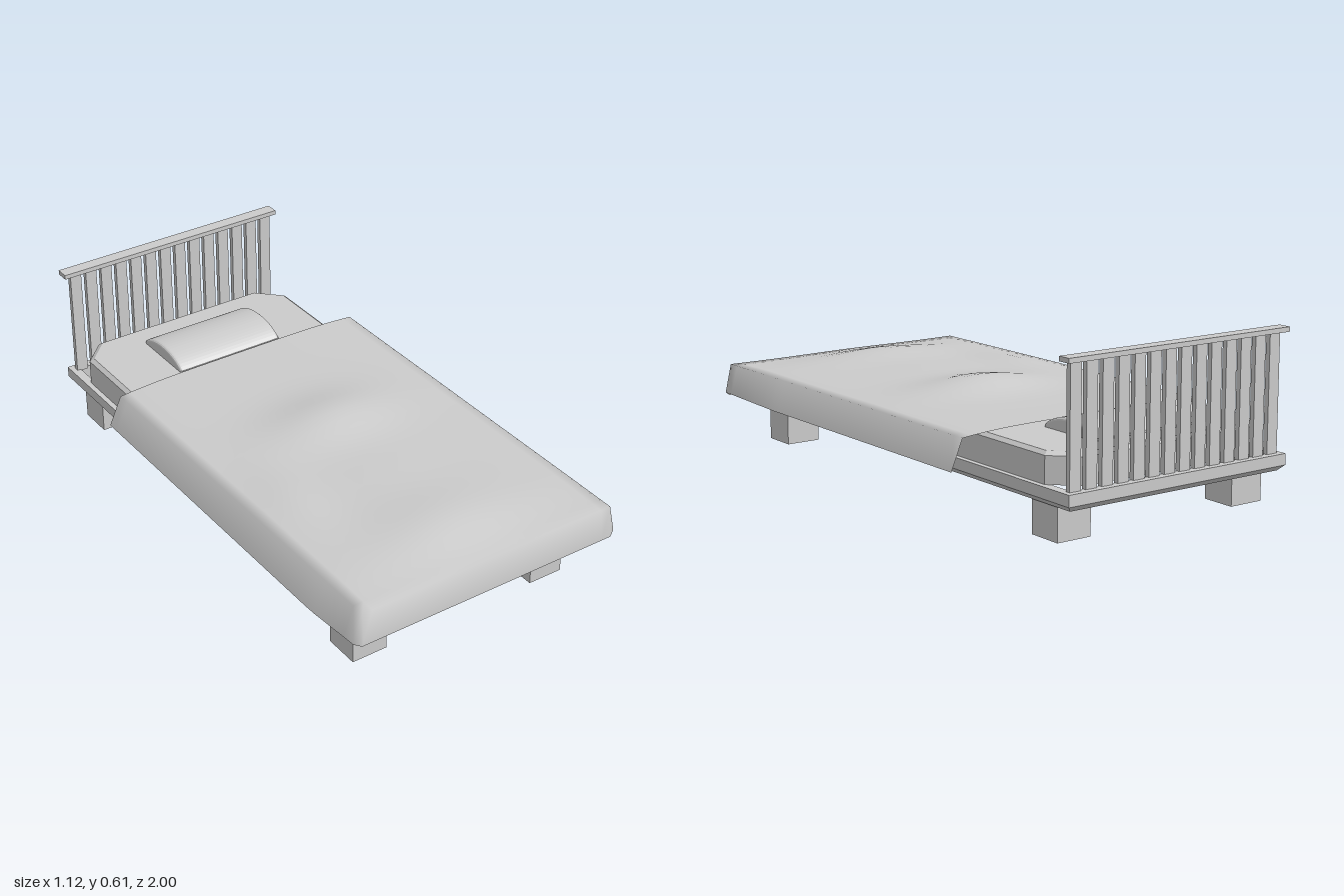
import * as THREE from 'three';

const CX = -0.035, CZ = -0.045; // centre of the bed base
const material = new THREE.MeshStandardMaterial({ color: 0xcccccc });
const openMaterial = new THREE.MeshStandardMaterial({ color: 0xcccccc, side: THREE.DoubleSide });

function add(parent, name, geometry, x = 0, y = 0, z = 0, mat = material) {
  const mesh = new THREE.Mesh(geometry, mat);
  mesh.name = name;
  mesh.position.set(x, y, z);
  parent.add(mesh);
  return mesh;
}

// Box from its limits on each axis
function addBox(parent, name, [x0, x1], [y0, y1], [z0, z1]) {
  const box = new THREE.BoxGeometry(x1 - x0, y1 - y0, z1 - z0);
  return add(parent, name, box, (x0 + x1) / 2, (y0 + y1) / 2, (z0 + z1) / 2);
}

// Horizontal rectangle, optionally with cut corners, anticlockwise from above
function outline(w, d, y, cut = 0) {
  const corners = [[w, d - cut], [w, -d + cut], [w - cut, -d], [-w + cut, -d],
    [-w, -d + cut], [-w, d - cut], [-w + cut, d], [w - cut, d]];
  return corners.filter((_, i) => cut || i % 2 === 0 && i < 8)
    .map(([x, z]) => [x, y, z]);
}

// Flat-shaded skin through a list of outlines
function loft(loops, capTop) {
  const pos = [], n = loops[0].length;
  for (let k = 0; k + 1 < loops.length; k++) {
    for (let i = 0; i < n; i++) {
      const j = (i + 1) % n, a = loops[k], b = loops[k + 1];
      pos.push(...a[i], ...a[j], ...b[j], ...a[i], ...b[j], ...b[i]);
    }
  }
  if (capTop) {
    const top = loops[loops.length - 1];
    for (let i = 1; i + 1 < n; i++) pos.push(...top[0], ...top[i], ...top[i + 1]);
  }
  const geometry = new THREE.BufferGeometry();
  geometry.setAttribute('position', new THREE.Float32BufferAttribute(pos, 3));
  geometry.computeVertexNormals();
  return geometry;
}

// Height of the blanket's upper surface with its soft folds
function blanketHeight(x, z) {
  const bump = (cx, cz, rx, rz, h) => h * Math.exp(-(((x - cx) / rx) ** 2) - ((z - cz) / rz) ** 2);
  const edge = Math.abs(x / 0.52) ** 4;
  const front = THREE.MathUtils.smoothstep(z, 0.75, 1);
  return 0.302 - 0.014 * edge - 0.016 * front * (1 - edge)
    + bump(0.02, 0.03, 0.24, 0.15, 0.042) + bump(-0.02, 0.74, 0.25, 0.17, 0.026)
    + bump(-0.36, 0.35, 0.1, 0.2, 0.014) + bump(0, 0.4, 0.2, 0.2, 0.012);
}

// Draped sheet: the outer columns and the last row are the hanging hems
function blanketGeometry() {
  const nx = 28, nz = 32;
  const geometry = new THREE.PlaneGeometry(1, 1, nx, nz);
  const p = geometry.attributes.position;
  for (let r = 0; r <= nz; r++) {
    const hemFront = r === nz;
    const z = -0.55 + 1.54 * Math.min(r / (nz - 1), 1);
    const taperL = 0.05 * THREE.MathUtils.clamp((z - 0.6) / 0.4, 0, 1);
    const taperR = 0.04 * THREE.MathUtils.clamp((z - 0.77) / 0.22, 0, 1);
    for (let c = 0; c <= nx; c++) {
      const hemSide = c === 0 || c === nx;
      const t = THREE.MathUtils.clamp((c - 1) / (nx - 2), 0, 1) * 2 - 1;
      let x = t * 0.515, y = blanketHeight(x, z);
      if (hemSide) {
        x = t > 0 ? 0.56 - taperL * 0.4 : -0.565 + taperR * 0.4;
        y = 0.18;
      }
      if (hemFront) {
        x = t * 0.52;
        y = 0.165;
      }
      p.setXYZ(r * (nx + 1) + c, x, y, hemFront ? 1 : z);
    }
  }
  geometry.computeVertexNormals();
  return geometry;
}

// Low arched cushion with bevelled ends, running along x
function pillowGeometry() {
  const bevel = 0.012, length = 0.44;
  const shape = new THREE.Shape();
  shape.moveTo(-0.125, 0);
  shape.lineTo(0.125, 0);
  shape.lineTo(0.125, 0.012);
  shape.bezierCurveTo(0.07, 0.061, -0.07, 0.061, -0.125, 0.012);
  const geometry = new THREE.ExtrudeGeometry(shape, {
    depth: length - 2 * bevel, bevelThickness: bevel, bevelSize: 0.01,
    bevelSegments: 3, curveSegments: 20,
  });
  geometry.translate(0, 0, bevel - length / 2);
  return geometry.rotateY(Math.PI / 2);
}

export function createModel() {
  const bed = new THREE.Group();
  bed.name = 'bed';

  // Open rectangular frame with a chamfered lower edge
  add(bed, 'frame', loft([
    outline(0.43, 0.92, 0.12), outline(0.445, 0.935, 0.12), outline(0.465, 0.955, 0.14),
    outline(0.465, 0.955, 0.18), outline(0.43, 0.92, 0.18), outline(0.43, 0.92, 0.12),
  ]), CX, 0, CZ);

  // Four block legs
  for (const sx of [-1, 1]) {
    for (const z of [-0.845, 0.82]) {
      const x = CX + sx * 0.3725;
      addBox(bed, 'leg', [x - 0.0675, x + 0.0675], [0, 0.122], [z - 0.066, z + 0.066]);
    }
  }

  // Mattress shell with cut corners
  add(bed, 'mattress', loft([
    outline(0.445, 0.895, 0.18, 0.09), outline(0.445, 0.895, 0.275, 0.09),
    outline(0.43, 0.88, 0.287, 0.085),
  ], true), CX, 0, CZ, openMaterial);

  add(bed, 'pillow', pillowGeometry(), -0.025, 0.278, -0.7);
  add(bed, 'blanket', blanketGeometry(), 0, 0, 0, openMaterial);

  // Headboard: slats under a flat top rail
  const headboard = new THREE.Group();
  headboard.name = 'headboard';
  bed.add(headboard);
  for (let i = 0; i < 14; i++) {
    const x = -0.48 + i * 0.065;
    addBox(headboard, 'slat', [x, x + 0.045], [0.175, 0.598], [-0.977, -0.958]);
  }
  addBox(headboard, 'topRail', [-0.508, 0.43], [0.595, 0.612], [-0.995, -0.945]);
  return bed;
}
